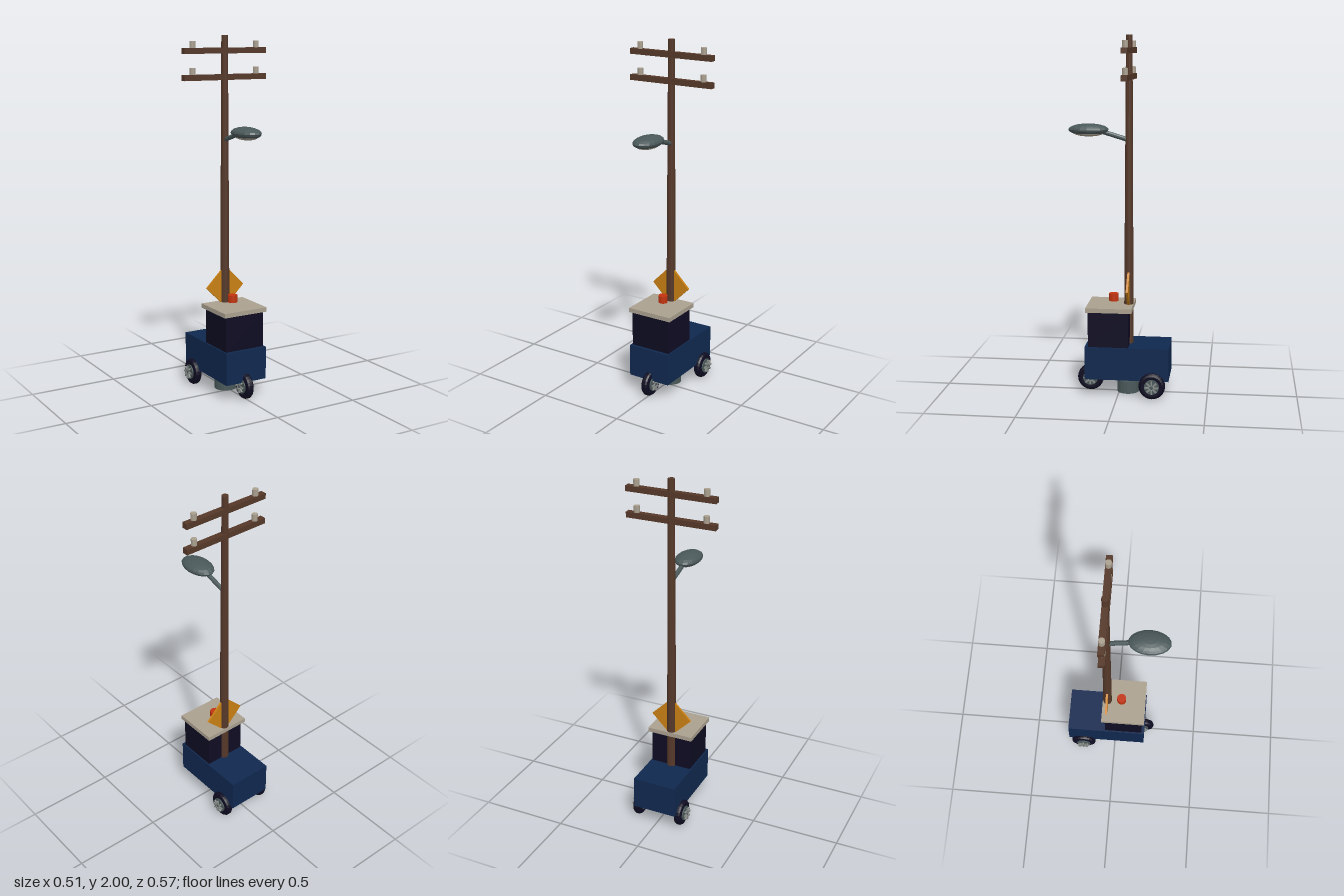
import * as THREE from 'three';

const mat = (name, color) => {
  const m = new THREE.MeshStandardMaterial({ color, flatShading: true });
  m.name = name;
  return m;
};

export function createModel() {
  const wood = mat('brownWood', 0x553829);
  const navy = mat('navyBody', 0x10284f);
  const dark = mat('darkNavy', 0x0e0c22);
  const cream = mat('cream', 0xaaa08f);
  const steel = mat('blueGreySteel', 0x4a5859);
  const silver = mat('silver', 0x868b88);
  const red = mat('redOrange', 0xc2340f);
  const yellow = mat('signYellow', 0xc98013);

  const root = new THREE.Group();
  root.name = 'utilityPoleCart';
  const add = (name, geo, material, x = 0, y = 0, z = 0, parent = root) => {
    const m = new THREE.Mesh(geo, material);
    m.name = name;
    m.position.set(x, y, z);
    parent.add(m);
    return m;
  };
  const box = (w, h, d) => new THREE.BoxGeometry(w, h, d);
  const cyl = (rTop, rBottom, h, n = 16) => new THREE.CylinderGeometry(rTop, rBottom, h, n);
  const poleZ = -0.052;

  // Cart body, cabinet and roof
  add('cartBody', box(0.256, 0.185, 0.47), navy, 0, 0.1925, -0.052);
  add('cabinet', box(0.24, 0.205, 0.225), dark, 0, 0.3825, 0.0525);
  add('roof', box(0.27, 0.025, 0.257), cream, 0, 0.4975, 0.0485);
  add('beacon', cyl(0.027, 0.027, 0.042), red, 0, 0.547, 0.033);

  // Pole, foot and collar
  add('pole', cyl(0.018, 0.028, 1.8, 12), wood, 0, 1.1, poleZ);
  add('foot', cyl(0.062, 0.062, 0.07, 20), steel, 0, 0.035, -0.048);
  add('footCollar', cyl(0.036, 0.036, 0.035), red, 0, 0.085, -0.048);

  // Crossarms with insulators
  for (const y of [1.775, 1.918]) {
    add('crossarm', box(0.514, 0.031, 0.034), wood, 0, y, poleZ);
    for (const x of [-0.2, 0.2]) add('insulator', cyl(0.016, 0.016, 0.038, 12), cream, x, y + 0.034, poleZ);
  }

  // Diamond warning sign
  const sign = add('warningSign', box(0.168, 0.168, 0.012), yellow, 0, 0.6, poleZ);
  sign.rotation.z = Math.PI / 4;

  // Street lamp
  const from = new THREE.Vector3(0, 1.432, poleZ), to = new THREE.Vector3(0, 1.478, 0.1);
  const arm = add('lampArm', cyl(0.013, 0.013, from.distanceTo(to), 10), steel);
  arm.position.lerpVectors(from, to, 0.5);
  arm.quaternion.setFromUnitVectors(new THREE.Vector3(0, 1, 0), to.clone().sub(from).normalize());
  const ball = new THREE.SphereGeometry(1, 18, 10);
  add('lampHousing', ball, steel, 0, 1.488, 0.173).scale.set(0.07, 0.033, 0.112);
  add('lampLens', ball, cream, 0, 1.472, 0.173).scale.set(0.054, 0.022, 0.088);

  // Wheels: rounded tyre, rim and star of spokes on each face
  const tyreGeo = new THREE.LatheGeometry([
    [0.03, -0.019], [0.058, -0.021], [0.068, -0.017], [0.074, -0.008],
    [0.074, 0.008], [0.068, 0.017], [0.058, 0.021], [0.03, 0.019],
  ].map(([r, y]) => new THREE.Vector2(r, y)), 24);
  const spokeGeo = box(0.009, 0.026, 0.009);
  const wheel = (name, x, z) => {
    const g = new THREE.Group();
    g.name = name;
    g.position.set(x, 0.075, z);
    root.add(g);
    add('tyre', tyreGeo, dark, 0, 0, 0, g).rotation.z = -Math.PI / 2;
    add('rim', cyl(0.042, 0.042, 0.054, 20), steel, 0, 0, 0, g).rotation.z = Math.PI / 2;
    add('axle', cyl(0.009, 0.009, 0.076, 10), steel, 0, 0, 0, g).rotation.z = Math.PI / 2;
    for (const side of [-1, 1]) {
      for (let i = 0; i < 8; i++) {
        const a = (i / 8) * Math.PI * 2;
        const s = add('spoke', spokeGeo, silver, side * 0.036, Math.cos(a) * 0.024, Math.sin(a) * 0.024, g);
        s.rotation.x = a;
      }
    }
  };
  wheel('frontWheel', 0, 0.165);
  wheel('rearLeftWheel', 0.13, -0.195);
  wheel('rearRightWheel', -0.13, -0.195);

  return root;
}
